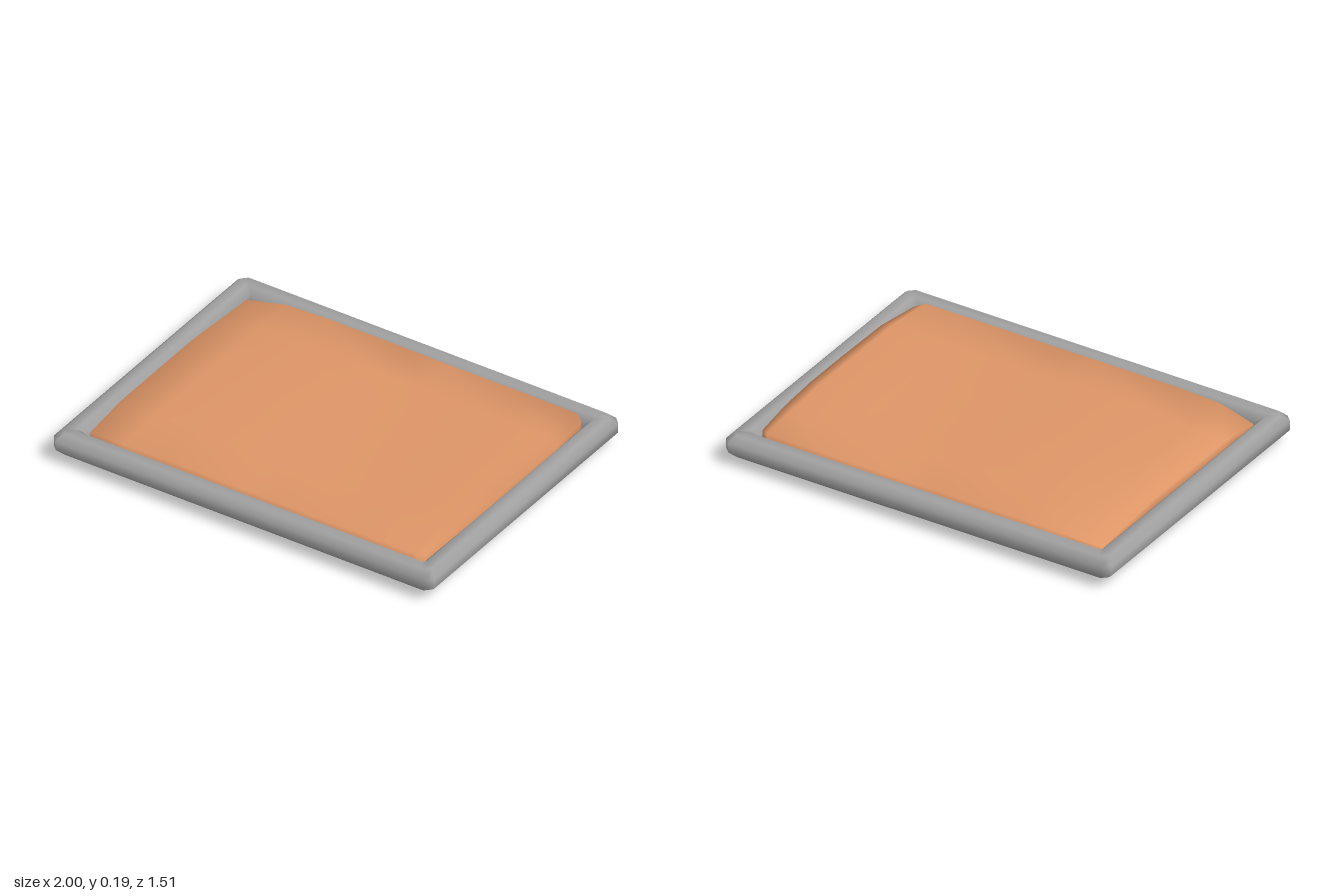
import * as THREE from 'three';

// Closed grid of points rings[i][j], smooth-shaded; the j loop always closes
function skin(rings, closeRings) {
  const n = rings.length, m = rings[0].length, index = [];
  for (let i = 0; i < (closeRings ? n : n - 1); i++) {
    for (let j = 0; j < m; j++) {
      const a = i * m + j, b = i * m + (j + 1) % m;
      const c = ((i + 1) % n) * m + j, d = ((i + 1) % n) * m + (j + 1) % m;
      index.push(a, b, d, a, d, c);
    }
  }
  // Ends: pair each upper point with the lower point beneath it
  if (!closeRings) {
    for (const [s, flip] of [[0, false], [(n - 1) * m, true]]) {
      for (let j = 0; j < m / 2 - 1; j++) {
        const a = s + j, b = s + j + 1, c = s + m - 2 - j, d = s + m - 1 - j;
        if (flip) index.push(a, b, c, a, c, d);
        else index.push(a, c, b, a, d, c);
      }
    }
  }
  const g = new THREE.BufferGeometry();
  g.setAttribute('position', new THREE.Float32BufferAttribute(rings.flat(2), 3));
  g.setIndex(index);
  g.computeVertexNormals();
  return g;
}

// Rectangular rail with chamfered section and clipped corners
function frameGeometry() {
  const w = 0.112, b = 0.032, lo = 0.045, hi = 0.156;
  // Section as [inset from the outside, height]
  const section = [[0, lo + b], [0, hi - b], [b, hi], [w - b, hi],
    [w, hi - b], [w, lo + b], [w - b, lo], [b, lo]];
  const rings = [];
  for (const [sx, sz] of [[1, 1], [1, -1], [-1, -1], [-1, 1]]) {
    const cuts = sx * sz > 0 ? [[1, 0], [0, 1]] : [[0, 1], [1, 0]];
    for (const [kx, kz] of cuts) {
      rings.push(section.map(([o, y]) => {
        const cut = 0.032 - 0.2 * o;
        return [sx * (1 - o - kx * cut), y, sz * (0.756 - o - kz * cut)];
      }));
    }
  }
  return skin(rings, true);
}

// Uneven stuffed panel, thicker in the middle than at its edges
function panelGeometry() {
  // Columns: x, half depth, edge top, crown top, edge bottom, crown bottom
  const columns = [
    [-0.88, 0.615, 0.125, 0.157, 0.06, 0.036],
    [-0.69, 0.645, 0.152, 0.160, 0.036, 0.033],
    [-0.47, 0.648, 0.160, 0.184, 0.028, 0.012],
    [-0.05, 0.648, 0.160, 0.179, 0.028, 0.012],
    [0.15, 0.648, 0.158, 0.163, 0.036, 0.032],
    [0.55, 0.648, 0.160, 0.171, 0.030, 0.024],
    [0.84, 0.645, 0.160, 0.189, 0.028, 0.004],
    [0.905, 0.615, 0.148, 0.166, 0.045, 0.026],
  ];
  // Rows: z as a share of the half depth, crown share above and below
  const rows = [[-1, 0, 0], [-0.65, 0.5, 0.2], [-0.3, 1, 0.45],
    [0.1, 1, 0.75], [0.62, 0.93, 1], [1, 0, 0.1]];
  const rings = columns.map(([x, depth, et, ct, eb, cb], i) => {
    const point = (t, y) => {
      const bow = i === columns.length - 1 ? -0.025 * t ** 4 : 0;
      return [x + bow, y, t * depth];
    };
    const upper = rows.map(([t, u]) => point(t, et + (ct - et) * u));
    const lower = rows.map(([t, , l]) => point(t, eb + (cb - eb) * l));
    return [...upper, ...lower.reverse()];
  });
  return skin(rings, false);
}

// Turns triangles outward if the enclosed volume comes out negative
function outward(g) {
  const p = g.attributes.position, idx = g.index.array;
  const v = [0, 1, 2].map(() => new THREE.Vector3());
  let volume = 0;
  for (let i = 0; i < idx.length; i += 3) {
    v.forEach((q, k) => q.fromBufferAttribute(p, idx[i + k]));
    volume += v[0].dot(v[1].clone().cross(v[2]));
  }
  if (volume < 0) {
    for (let i = 0; i < idx.length; i += 3) [idx[i], idx[i + 1]] = [idx[i + 1], idx[i]];
    g.computeVertexNormals();
  }
  return g;
}

export function createModel() {
  const grey = new THREE.MeshStandardMaterial({ color: 0xa0a0a0 });
  grey.name = 'grey';
  const tan = new THREE.MeshStandardMaterial({ color: 0xdd9566 });
  tan.name = 'tan';

  const model = new THREE.Group();
  const frame = new THREE.Mesh(outward(frameGeometry()), grey);
  frame.name = 'frame';
  const panel = new THREE.Mesh(outward(panelGeometry()), tan);
  panel.name = 'panel';
  model.add(frame, panel);
  return model;
}
